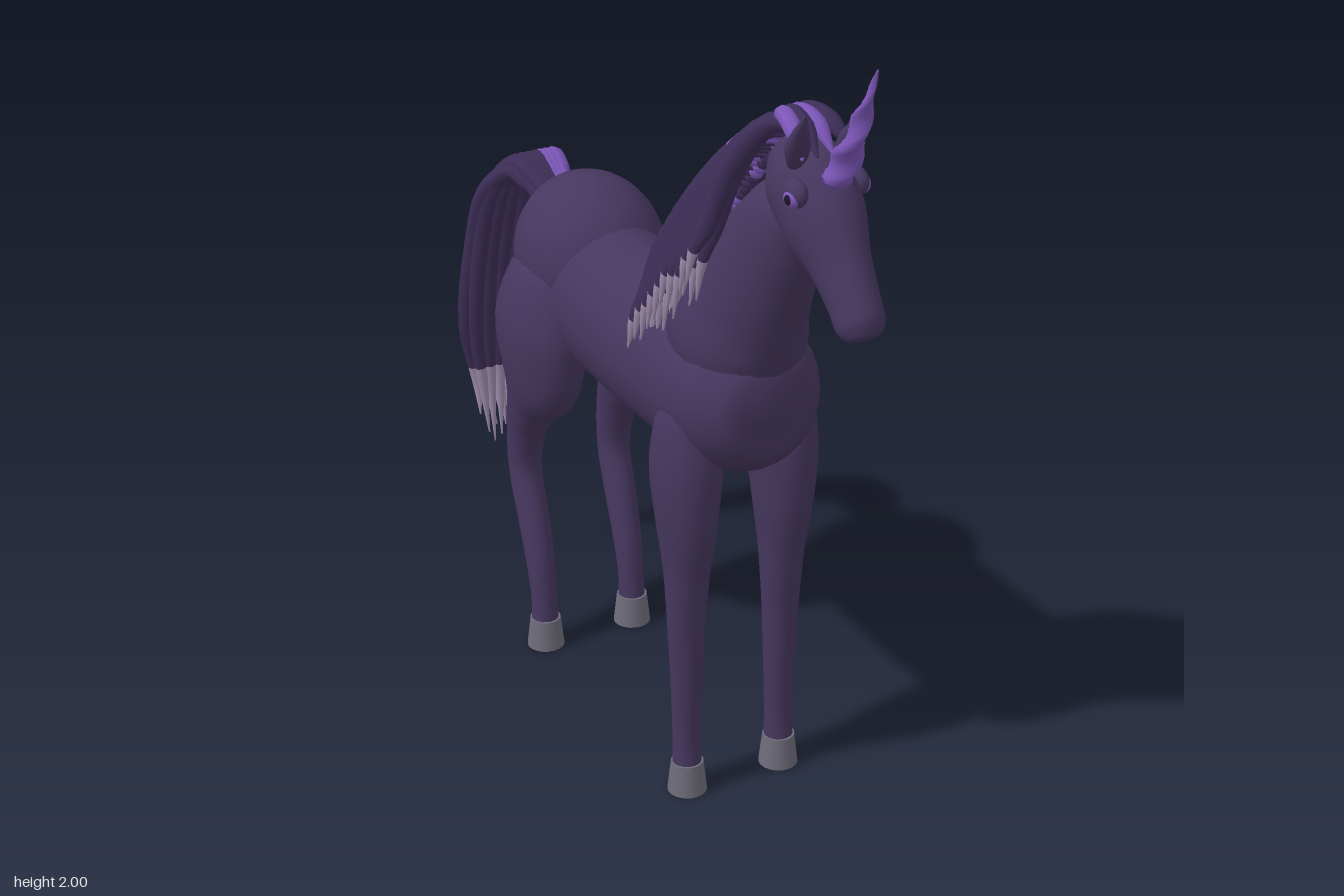
import * as THREE from 'three';

const mat = (name, color) => {
  const m = new THREE.MeshStandardMaterial({ color });
  m.name = name;
  return m;
};
const V = (x, y, z) => new THREE.Vector3(x, y, z);

// Smooth closed tube through stations [x, y, z, sideRadius, depthRadius].
// bands: list of [end fraction, material index], for tubes in several colours.
function loft(stations, { steps = 20, sides = 18, bands = null, twist = 0 } = {}) {
  const path = new THREE.CatmullRomCurve3(stations.map(s => V(s[0], s[1], s[2])));
  const size = new THREE.CatmullRomCurve3(stations.map(s => V(s[3], s[4], 0)));
  const pos = [], index = [];
  const geo = new THREE.BufferGeometry();
  for (let i = 0; i <= steps; i++) {
    const t = i / steps, c = path.getPoint(t), T = path.getTangent(t), r = size.getPoint(t);
    const S = V(1, 0, 0).addScaledVector(T, -T.x).normalize();
    const N = V(0, 0, 0).crossVectors(T, S);
    const c2 = Math.cos(twist * t), s2 = Math.sin(twist * t);
    const A = S.clone().multiplyScalar(c2).addScaledVector(N, s2);
    const B = N.clone().multiplyScalar(c2).addScaledVector(S, -s2);
    for (let j = 0; j < sides; j++) {
      const a = j / sides * Math.PI * 2;
      const p = c.clone().addScaledVector(A, Math.cos(a) * Math.max(r.x, 0.001))
        .addScaledVector(B, Math.sin(a) * Math.max(r.y, 0.001));
      pos.push(p.x, p.y, p.z);
    }
  }
  const first = pos.length / 3, last = first + 1;
  pos.push(...path.getPoint(0).toArray(), ...path.getPoint(1).toArray());
  let band = 0, start = 0;
  for (let j = 0; j < sides; j++) index.push(first, (j + 1) % sides, j);
  for (let i = 0; i < steps; i++) {
    if (bands && band < bands.length - 1 && i / steps >= bands[band][0]) {
      geo.addGroup(start, index.length - start, bands[band][1]);
      start = index.length;
      band++;
    }
    for (let j = 0; j < sides; j++) {
      const k = (j + 1) % sides, a = i * sides + j, b = i * sides + k;
      index.push(a, b, b + sides, a, b + sides, a + sides);
    }
  }
  for (let j = 0; j < sides; j++) index.push(last, steps * sides + j, steps * sides + (j + 1) % sides);
  if (bands) geo.addGroup(start, index.length - start, bands[band][1]);
  geo.setAttribute('position', new THREE.Float32BufferAttribute(pos, 3));
  geo.setIndex(index);
  geo.computeVertexNormals();
  return geo;
}

export function createModel() {
  const model = new THREE.Group();
  const coat = mat('coat', 0x46375f);
  const hair = mat('darkHair', 0x3d2e57);
  const bright = mat('brightPurple', 0x7c56b8);
  const tip = mat('paleTips', 0x9f8dad);
  const hoofMat = mat('hoof', 0x6e6b79);
  const eyeDark = mat('pupil', 0x1c1528);
  const hairMats = [hair, bright, tip];

  let seed = 7;
  const rnd = () => ((seed = (seed * 16807) % 2147483647) / 2147483647);
  const add = (name, geo, m, parent = model) => {
    const mesh = new THREE.Mesh(geo, m);
    mesh.name = name;
    parent.add(mesh);
    return mesh;
  };
  const ball = (name, m, p, s, parent) => {
    const b = add(name, new THREE.SphereGeometry(1, 28, 20), m, parent);
    b.position.set(...p);
    b.scale.set(...s);
    return b;
  };

  // Trunk, rump and neck
  add('barrel', loft([
    [0, 1.07, 0.515, 0.03, 0.03], [0, 1.07, 0.495, 0.115, 0.12], [0, 1.06, 0.42, 0.17, 0.18],
    [0, 1.045, 0.3, 0.187, 0.198], [0, 1.03, 0.12, 0.177, 0.195], [0, 1.025, -0.1, 0.172, 0.194],
    [0, 1.03, -0.28, 0.165, 0.19], [0, 1.05, -0.42, 0.1, 0.12],
  ], { steps: 32, sides: 28 }), coat);
  ball('rump', coat, [0, 1.095, -0.39], [0.183, 0.205, 0.207]);
  add('neck', loft([
    [0, 1.08, 0.27, 0.13, 0.16], [0, 1.2, 0.34, 0.155, 0.175], [0, 1.31, 0.4, 0.125, 0.158],
    [0, 1.45, 0.49, 0.098, 0.132], [0, 1.54, 0.56, 0.085, 0.11], [0, 1.6, 0.64, 0.06, 0.06],
  ], { steps: 24, sides: 24 }), coat);

  // Head from poll to muzzle
  add('head', loft([
    [0, 1.735, 0.545, 0.015, 0.02], [0, 1.715, 0.57, 0.06, 0.065], [0, 1.665, 0.635, 0.092, 0.112],
    [0, 1.6, 0.7, 0.088, 0.108], [0, 1.525, 0.77, 0.064, 0.08], [0, 1.455, 0.83, 0.056, 0.062],
    [0, 1.42, 0.855, 0.055, 0.056], [0, 1.395, 0.872, 0.038, 0.036], [0, 1.39, 0.875, 0.01, 0.01],
  ], { steps: 32, sides: 24 }), coat);

  // Twisted horn
  add('horn', loft([
    [0, 1.71, 0.745, 0.038, 0.03], [0, 1.77, 0.782, 0.036, 0.024], [0, 1.85, 0.825, 0.028, 0.017],
    [0, 1.93, 0.862, 0.014, 0.009], [0, 2, 0.892, 0.002, 0.002],
  ], { steps: 24, sides: 10, twist: Math.PI * 3 }), bright);

  for (const s of [1, -1]) {
    const side = s > 0 ? 'left' : 'right';
    // Ears and eyes
    add(side + 'Ear', loft([
      [s * 0.055, 1.73, 0.675, 0.022, 0.018], [s * 0.066, 1.775, 0.695, 0.03, 0.02],
      [s * 0.074, 1.82, 0.72, 0.02, 0.013], [s * 0.078, 1.865, 0.745, 0.002, 0.002],
    ], { steps: 10, sides: 12 }), coat);
    ball(side + 'Eyelid', coat, [s * 0.074, 1.677, 0.705], [0.024, 0.032, 0.036]);
    ball(side + 'Iris', bright, [s * 0.083, 1.67, 0.71], [0.02, 0.022, 0.024]);
    ball(side + 'Pupil', eyeDark, [s * 0.098, 1.67, 0.714], [0.007, 0.012, 0.011]);

    // Legs and hooves
    add(side + 'FrontLeg', loft([
      [s * 0.11, 1.1, 0.33, 0.02, 0.03], [s * 0.12, 1.0, 0.33, 0.072, 0.08],
      [s * 0.127, 0.87, 0.33, 0.08, 0.1], [s * 0.128, 0.72, 0.335, 0.067, 0.085],
      [s * 0.127, 0.6, 0.335, 0.054, 0.06], [s * 0.127, 0.45, 0.335, 0.046, 0.042],
      [s * 0.126, 0.3, 0.335, 0.039, 0.037], [s * 0.126, 0.15, 0.335, 0.034, 0.033],
      [s * 0.126, 0.05, 0.34, 0.036, 0.036],
    ], { steps: 32, sides: 20 }), coat);
    add(side + 'HindLeg', loft([
      [s * 0.12, 1.13, -0.38, 0.02, 0.04], [s * 0.127, 1.07, -0.385, 0.075, 0.115],
      [s * 0.132, 0.93, -0.395, 0.102, 0.162], [s * 0.133, 0.8, -0.405, 0.088, 0.143],
      [s * 0.13, 0.7, -0.455, 0.065, 0.085], [s * 0.128, 0.6, -0.502, 0.05, 0.058],
      [s * 0.127, 0.48, -0.52, 0.042, 0.043], [s * 0.126, 0.35, -0.48, 0.04, 0.043],
      [s * 0.126, 0.24, -0.445, 0.037, 0.039], [s * 0.126, 0.13, -0.425, 0.033, 0.033],
      [s * 0.126, 0.05, -0.42, 0.036, 0.036],
    ], { steps: 40, sides: 20 }), coat);
    for (const [name, z] of [['FrontHoof', 0.34], ['HindHoof', -0.42]]) {
      add(side + name, new THREE.CylinderGeometry(0.039, 0.048, 0.08, 20), hoofMat)
        .position.set(s * 0.126, 0.04, z);
    }
  }

  // Mane: two layers of strands on each side, swept out, back and down
  const mane = new THREE.Group();
  mane.name = 'mane';
  model.add(mane);
  for (const s of [1, -1]) for (const layer of [0, 1]) for (let i = 0; i < 10; i++) {
    const u = (i + layer * 0.5) / 10;
    const y = 1.795 - 0.32 * u - 0.06 * u * (1 - u) + 0.1 * Math.sin(Math.PI * u) * 0.4;
    const z = 0.6 - 0.31 * u, w = layer ? 0.8 : 1, j = rnd() * 0.08;
    const b = (i + layer + (s > 0 ? 0 : 1)) % 3;
    const bands = b === 0 ? [[0.3, 1], [0.78, 0], [1, 2]]
      : b === 1 && layer ? [[0.22, 0], [0.42, 1], [0.8, 0], [1, 2]] : [[0.78, 0], [1, 2]];
    add('maneStrand', loft([
      [s * -0.012, y - 0.015, z + 0.02, 0.016, 0.016],
      [s * 0.045 * w, y - 0.02, z - 0.05, 0.026, 0.024],
      [s * 0.105 * w, y - 0.12, z - 0.11, 0.026, 0.026],
      [s * 0.142 * w, y - 0.28, z - 0.155, 0.02, 0.024],
      [s * 0.16 * w, y - 0.38 + j / 2, z - 0.18, 0.012, 0.014],
      [s * 0.165 * w, y - 0.5 + j, z - 0.2, 0.002, 0.002],
    ], { steps: 20, sides: 8, bands }), hairMats, mane);
  }

  // Forelock: short locks lying from the poll towards the ears
  const forelock = new THREE.Group();
  forelock.name = 'forelock';
  model.add(forelock);
  [-0.05, -0.02, 0.01, 0.045].forEach((x, i) => {
    add('forelockStrand', loft([
      [x * 0.3, 1.78, 0.53, 0.012, 0.012], [x * 0.7, 1.805, 0.59, 0.022, 0.02],
      [x, 1.795, 0.65, 0.022, 0.018], [x * 1.25, 1.75, 0.71, 0.003, 0.003],
    ], { steps: 12, sides: 8, bands: [[1, i % 2 ? 0 : 1]] }), hairMats, forelock);
  });

  // Tail: strands bunched at the dock, spreading and falling to pale points
  const tail = new THREE.Group();
  tail.name = 'tail';
  model.add(tail);
  for (let i = 0; i < 15; i++) {
    const k = i / 14 * 2 - 1, d = (i % 2 ? 1 : -1) * 0.009, e = rnd() * 0.13;
    const x = 0.012 * (rnd() - 0.5), tx = k * 0.075 + 0.03 * (rnd() - 0.5);
    const bands = i > 7 && i < 14 ? [[0.45, 1], [0.8, 0], [1, 2]] : [[0.8, 0], [1, 2]];
    add('tailStrand', loft([
      [k * 0.03, 1.165 + d, -0.55, 0.022, 0.024], [k * 0.042, 1.205 + d, -0.62, 0.024, 0.024],
      [k * 0.06, 1.22 + d, -0.695, 0.024, 0.024], [k * 0.1, 1.14 + d, -0.765 + d, 0.024, 0.022],
      [k * 0.12 + x, 0.95, -0.823 + d, 0.023, 0.022], [k * 0.115 - x, 0.72, -0.866 + d, 0.021, 0.02],
      [k * 0.09 + x, 0.55, -0.882 + d, 0.015, 0.014], [tx, 0.36 + e, -0.866, 0.002, 0.002],
    ], { steps: 28, sides: 8, bands }), hairMats, tail);
  }
  return model;
}
